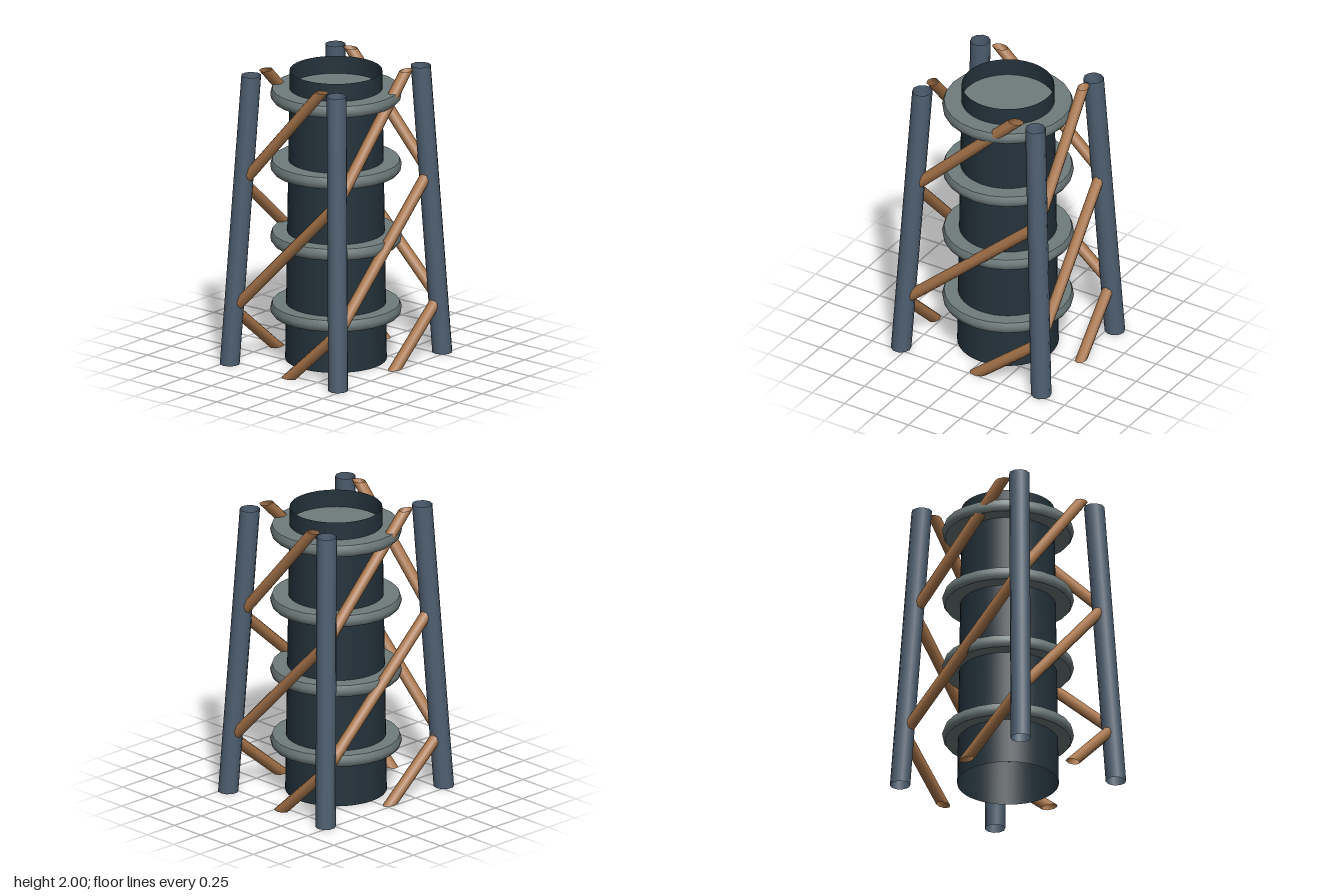
import * as THREE from 'three';
import { toCreasedNormals } from 'three/addons/utils/BufferGeometryUtils.js';

const HEIGHT = 2;

// Open round bar between two points, cut level where it passes y = 0 or y = HEIGHT
function bar(a, b, radius, sides) {
  const dir = new THREE.Vector3().subVectors(b, a);
  const geo = new THREE.CylinderGeometry(radius, radius, dir.length(), sides, 1, true);
  dir.normalize();
  geo.applyQuaternion(new THREE.Quaternion().setFromUnitVectors(new THREE.Vector3(0, 1, 0), dir));
  const mid = new THREE.Vector3().addVectors(a, b).multiplyScalar(0.5);
  geo.translate(mid.x, mid.y, mid.z);
  const pos = geo.attributes.position;
  const v = new THREE.Vector3();
  for (let i = 0; i < pos.count; i++) {
    v.fromBufferAttribute(pos, i);
    const level = THREE.MathUtils.clamp(v.y, 0, HEIGHT);
    v.addScaledVector(dir, (level - v.y) / dir.y);
    pos.setXYZ(i, v.x, v.y, v.z);
  }
  return geo;
}

// Centre line of a leg at height y; the legs lean inward
function legPoint([sx, sz], y) {
  return new THREE.Vector3(sx * (0.463 - 0.049 * y), y, sz * (0.546 - 0.0525 * y));
}

export function createModel() {
  const mat = (name, color) => {
    const m = new THREE.MeshStandardMaterial({ color, side: THREE.DoubleSide });
    m.name = name;
    return m;
  };
  const steel = mat('blue grey steel', 0x4f6072);
  const dark = mat('dark shell', 0x24323b);
  const grey = mat('grey flange', 0x707c7c);
  const copper = mat('copper brown', 0xa8754a);

  const model = new THREE.Group();
  model.name = 'bracedTower';
  const add = (name, geo, material) => {
    const mesh = new THREE.Mesh(geo, material);
    mesh.name = name;
    model.add(mesh);
    return mesh;
  };

  // Central tapered shell, open at both ends
  const shell = new THREE.CylinderGeometry(0.307, 0.337, HEIGHT, 48, 1, true);
  add('shell', shell.translate(0, HEIGHT / 2, 0), dark);

  // Flange discs with softened rims
  const profile = [[0, 0], [0.418, 0], [0.432, 0.018], [0.437, 0.045], [0.424, 0.08], [0, 0.08]];
  const disc = toCreasedNormals(
    new THREE.LatheGeometry(profile.map(([r, y]) => new THREE.Vector2(r, y)), 24), 0.85);
  for (let i = 0; i < 4; i++) {
    add('flange' + (i + 1), disc, grey).position.y = 0.31 + i * 0.496;
  }

  // Leaning legs, in order around the tower
  const corners = [[-1, 1], [1, 1], [1, -1], [-1, -1]];
  corners.forEach((c, i) => {
    add('leg' + (i + 1), bar(legPoint(c, -0.2), legPoint(c, 2.2), 0.068, 10), steel);
  });

  // Diagonal braces climbing from each leg to the next
  const nodes = [-0.5, 0.38, 1.26, 2.14];
  corners.forEach((c, i) => {
    const next = corners[(i + 1) % 4];
    for (let k = 0; k < 3; k++) {
      const geo = bar(legPoint(c, nodes[k]), legPoint(next, nodes[k + 1]), 0.039, 8);
      add(`brace${i + 1}_${k + 1}`, geo, copper);
    }
  });

  return model;
}
